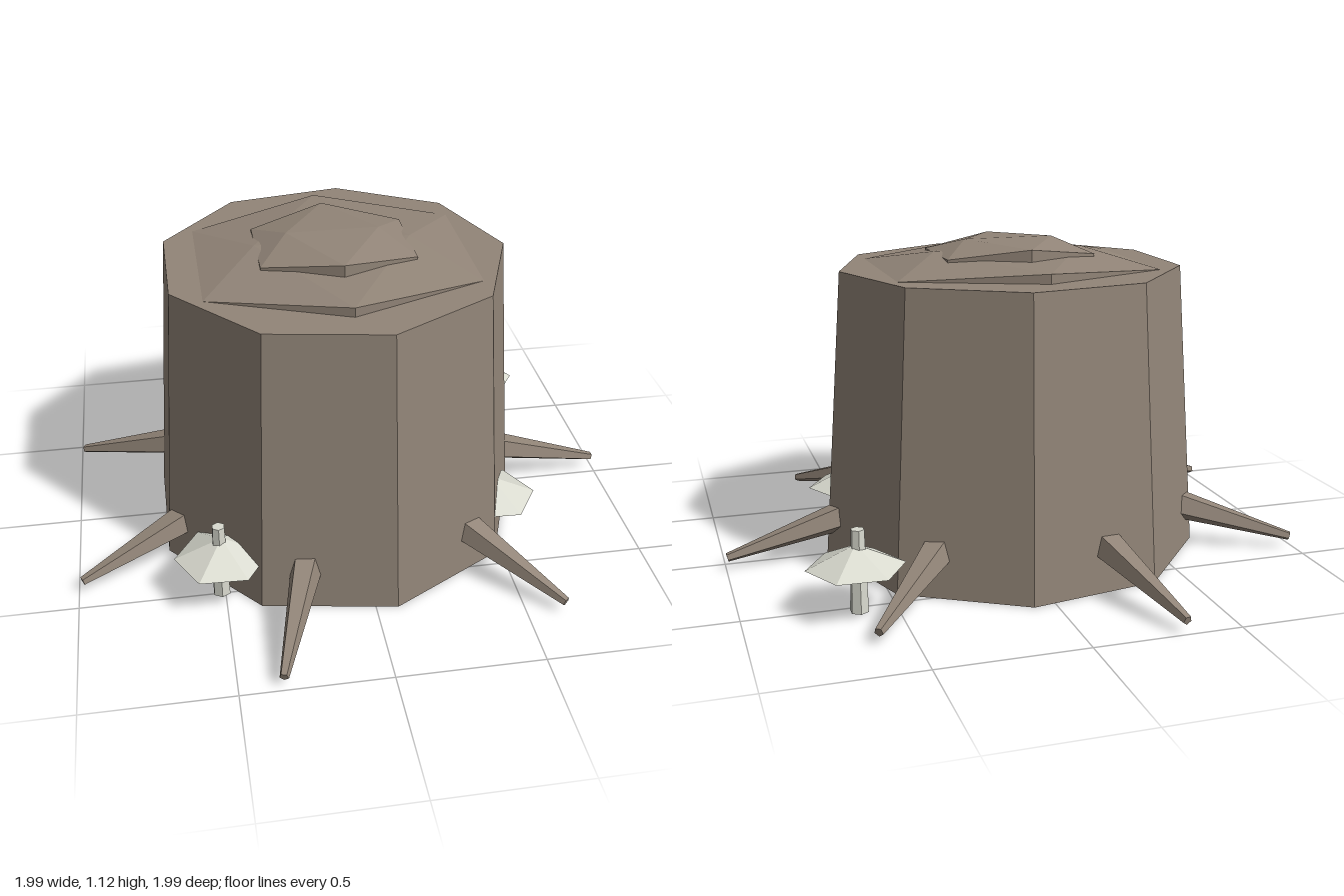
import * as THREE from 'three';

const CX = -0.043; // trunk axis

export function createModel() {
  const model = new THREE.Group();
  const bark = new THREE.MeshStandardMaterial({ color: 0x928578 });
  bark.name = 'bark';
  const pale = new THREE.MeshStandardMaterial({ color: 0xd9dacf });
  pale.name = 'paleFungus';

  const add = (parent, name, geometry, material, x = 0, y = 0, z = 0) => {
    const g = geometry.index ? geometry.toNonIndexed() : geometry;
    g.computeVertexNormals(); // faceted normals
    const mesh = new THREE.Mesh(g, material);
    mesh.name = name;
    mesh.position.set(x, y, z);
    parent.add(mesh);
    return mesh;
  };

  // Nine-sided tapering trunk with a corner facing +x
  add(model, 'trunk', new THREE.CylinderGeometry(0.608, 0.68, 1.02, 9, 1, false, Math.PI / 2), bark, CX, 0.51, 0);

  // Warped hexagonal slab: tall front and back corners, sides drooping to the wood
  const slab = (w, ridgeX, ySide, yEnd, yRidge, yBase) => {
    const rim = [[0, yEnd, w], [w, ySide, w * 0.6], [w, ySide, -w * 0.6],
      [0, yEnd, -w], [-w, ySide, -w * 0.6], [-w, ySide, w * 0.6]];
    const R = [ridgeX, yRidge, 0], L = [-ridgeX, yRidge, 0];
    const p = [];
    const tri = (a, b, c) => p.push(...a, ...b, ...c);
    for (let i = 0; i < 6; i++) {
      const a = rim[i], b = rim[(i + 1) % 6];
      const a0 = [a[0], yBase, a[2]], b0 = [b[0], yBase, b[2]];
      tri(a, b, i < 3 ? R : L);
      tri(a0, b0, b);
      tri(a0, b, a);
    }
    tri(rim[0], R, L);
    tri(rim[3], L, R);
    const g = new THREE.BufferGeometry();
    g.setAttribute('position', new THREE.Float32BufferAttribute(p, 3));
    return g;
  };
  add(model, 'outerGrowthRing', slab(0.465, 0.27, 1.02, 1.053, 1.076, 1.0), bark, CX);
  add(model, 'innerGrowthRing', slab(0.265, 0.16, 1.067, 1.104, 1.115, 1.04), bark, CX);

  // Seven tapering roots, given by the x and z of their tips
  const tips = [[0.995, -0.045], [0.63, 0.785], [-0.355, 0.985], [-0.985, 0.41],
    [-0.985, -0.425], [-0.315, -0.99], [0.615, -0.795]];
  const up = new THREE.Vector3(0, 1, 0);
  for (const [x, z] of tips) {
    const tip = new THREE.Vector3(x, 0.042, z);
    const out = new THREE.Vector3(x - CX, 0, z).normalize();
    const base = new THREE.Vector3(CX, 0.155, 0).addScaledVector(out, 0.6);
    const along = tip.clone().sub(base);
    const len = along.length();
    along.normalize();
    // Five sides, one flat side facing up
    const root = add(model, 'root', new THREE.CylinderGeometry(0.016, 0.058, len, 5, 1, false, Math.PI), bark);
    root.position.copy(base).add(tip).multiplyScalar(0.5);
    const side = new THREE.Vector3().crossVectors(along, up).normalize();
    const top = new THREE.Vector3().crossVectors(side, along);
    root.quaternion.setFromRotationMatrix(new THREE.Matrix4().makeBasis(side, along, top));
  }

  // Mushrooms: six-sided stem poking through a flat cone cap
  const mushroom = (x, z, h) => {
    const group = new THREE.Group();
    group.name = 'mushroom';
    group.position.set(x, 0, z);
    add(group, 'stem', new THREE.CylinderGeometry(0.023, 0.032, h, 6), pale, 0, h / 2, 0);
    const cap = add(group, 'cap', new THREE.ConeGeometry(0.163, 0.075, 6, 1, false, Math.PI / 2), pale, 0.008, 0.192, 0);
    cap.rotation.y = -0.04;
    model.add(group);
  };
  mushroom(-0.512, 0.49, 0.28);
  mushroom(0.623, -0.53, 0.28);
  mushroom(0.482, 0.288, 0.2); // half sunk into the trunk

  return model;
}
